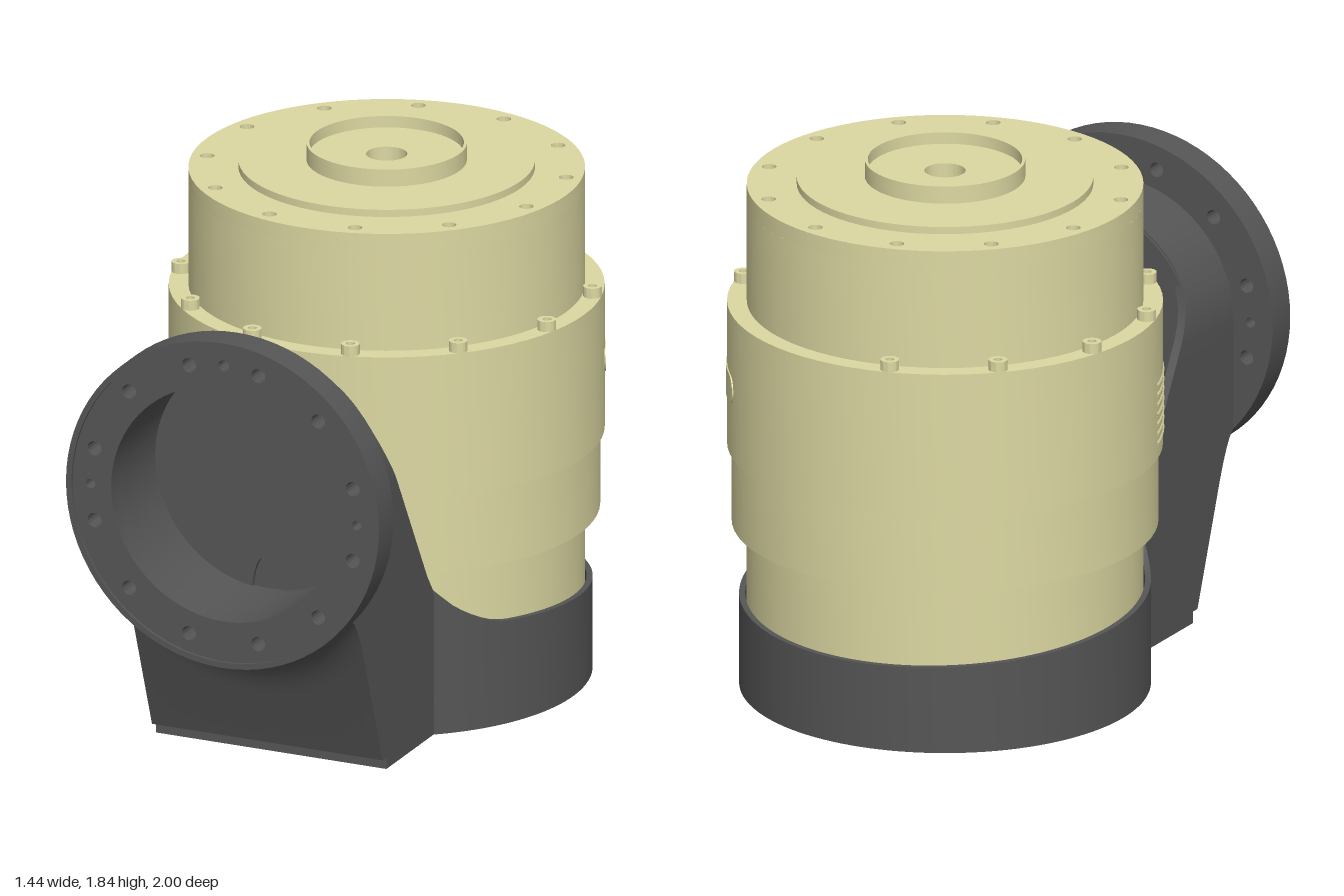
import * as THREE from 'three';
import { toCreasedNormals } from 'three/addons/utils/BufferGeometryUtils.js';

const CZ = -0.283; // motor axis
const BORE_Y = 0.985; // height of the side flange axis
const NECK = 0.42; // half width of the neck
const cream = new THREE.MeshStandardMaterial({ color: 0xdcd8a2, side: THREE.DoubleSide });
const dark = new THREE.MeshStandardMaterial({ color: 0x555555, side: THREE.DoubleSide });
const V = (x, y, z) => new THREE.Vector3(x, y, z);

function add(group, name, geometry, material, x = 0, y = 0, z = 0) {
  const m = new THREE.Mesh(toCreasedNormals(geometry, 0.5), material);
  m.name = name;
  m.position.set(x, y, z);
  group.add(m);
  return m;
}

// Surface through a list of equal-length cross-sections
function strip(rows) {
  const n = rows[0].length, index = [];
  for (let i = 0; i < rows.length - 1; i++)
    for (let j = 0; j < n - 1; j++) {
      const a = i * n + j, b = a + n;
      index.push(a, b, a + 1, b, b + 1, a + 1);
    }
  const g = new THREE.BufferGeometry().setFromPoints(rows.flat());
  g.setIndex(index);
  g.computeVertexNormals();
  return g;
}

const circle = (r, x = 0, y = 0, T = THREE.Path) => new T().absarc(x, y, r, 0, Math.PI * 2, false);
const disc = (r) => circle(r, 0, 0, THREE.Shape);
function ringOfHoles(shape, r, size, count, start) {
  for (let i = 0; i < count; i++) {
    const a = start + (i / count) * Math.PI * 2;
    shape.holes.push(circle(size, r * Math.cos(a), r * Math.sin(a)));
  }
  return shape;
}
const extrude = (shape, depth) => new THREE.ExtrudeGeometry(shape, { depth, bevelEnabled: false, curveSegments: 40 });
// Horizontal plate hanging down from its position; shape y becomes z
const plate = (shape, depth) => extrude(shape, depth).rotateX(Math.PI / 2);

function lerpTable(t, v) {
  if (v <= t[0][0]) return t[0][1];
  for (let i = 1; i < t.length; i++)
    if (v <= t[i][0]) {
      const [a, b] = [t[i - 1], t[i]];
      return b[1] + ((a[1] - b[1]) * (b[0] - v)) / (b[0] - a[0]);
    }
  return t[t.length - 1][1];
}
// Upper edge of the base: z -> y for the cup, y -> z for the neck
const cupTop = [[-0.97, 0.295], [0.05, 0.36], [0.09, 0.368], [0.13, 0.385], [0.17, 0.41], [0.21, 0.445], [0.25, 0.5]];
const neckBack = [[0.5, 0.25], [0.57, 0.3], [1.08, 0.59], [1.13, 0.612], [1.18, 0.628], [1.24, 0.635]];

// Front of the neck at a given x: a slope that flares out to the flange edge
function neckFront(x) {
  const e = BORE_Y - Math.sqrt(0.57 ** 2 - x * x);
  const slope = (y) => 0.65 + (y - 0.04) * 0.36;
  const curve = new THREE.QuadraticBezierCurve3(
    V(x, e - 0.18, slope(e - 0.18)), V(x, e - 0.02, slope(e - 0.02)), V(x, e, 0.885));
  return [V(x, 0, 0.62), V(x, 0.04, 0.62), V(x, 0.04, 0.65), ...curve.getPoints(12)];
}

function buildMotor() {
  const g = new THREE.Group();
  g.name = 'motor';
  g.position.z = CZ;
  // Stepped housing with a through bore
  const profile = [[0.068, 0.15], [0.3, 0.15], [0.3, 0.22], [0.655, 0.22], [0.655, 0.62], [0.69, 0.62], [0.69, 0.575],
    [0.705, 0.575], [0.705, 0.845], [0.72, 0.845], [0.72, 1.345], [0.655, 1.345], [0.655, 1.7],
    [0.49, 1.7], [0.49, 1.78], [0.265, 1.78], [0.265, 1.84], [0.255, 1.84], [0.255, 1.8],
    [0.068, 1.8], [0.068, 0.15]].map((p) => new THREE.Vector2(...p));
  add(g, 'housing', new THREE.LatheGeometry(profile, 72), cream);
  // Drilled top ring
  const ring = ringOfHoles(disc(0.655), 0.602, 0.024, 12, Math.PI / 12);
  ring.holes.push(circle(0.488));
  add(g, 'topRing', plate(ring, 0.055), cream, 0, 1.755, 0);
  // Socket screws on the shoulder, two places left empty at the back
  const head = disc(0.031);
  head.holes.push(circle(0.015));
  for (let i = 0; i < 12; i++) {
    if (i === 9 || i === 10) continue;
    const a = Math.PI / 12 + (i * Math.PI) / 6;
    add(g, 'screw', plate(head, 0.035), cream, 0.69 * Math.cos(a), 1.38, 0.69 * Math.sin(a));
  }
  // Rounded cover pad wrapped on the housing
  const rows = [], mid = Math.atan2(-0.4, 0.6);
  for (let i = 0; i <= 32; i++) {
    const u = -0.13 * Math.cos((i / 32) * Math.PI), d = Math.max(0, Math.abs(u) - 0.08);
    const h = Math.sqrt(Math.max(0, 0.05 ** 2 - d * d)), a = mid + u / 0.72;
    const p = (r, y) => V(r * Math.cos(a), 1.08 + y, r * Math.sin(a));
    rows.push([p(0.715, -h), p(0.724, -h), p(0.724, h), p(0.715, h)]);
  }
  add(g, 'coverPad', strip(rows), cream);
  // Fine horizontal ribs
  for (let i = 0; i < 7; i++) {
    const rib = new THREE.TorusGeometry(0.717, 0.007, 6, 12, 0.37).rotateX(Math.PI / 2).rotateY(-2.48);
    add(g, 'rib', rib, cream, 0, 0.9 + i * 0.034, 0);
  }
  return g;
}

function buildBase() {
  const g = new THREE.Group();
  g.name = 'base';
  // Cup wall round the motor, open towards the neck
  const joint = Math.asin((0.25 - CZ) / 0.68), cup = [];
  for (let i = 0; i <= 96; i++) {
    const a = joint - (i / 96) * (Math.PI + 2 * joint), c = Math.cos(a), s = Math.sin(a);
    const top = lerpTable(cupTop, CZ + 0.68 * s);
    const p = (r, y) => V(r * c, y, CZ + r * s);
    cup.push([p(0.68, 0), p(0.68, top), p(0.66, top), p(0.66, 0.1)]);
  }
  add(g, 'cupWall', strip(cup), dark);

  // Neck shell: straight sides closed by a half round on top
  const side = neckFront(NECK).map((p) => [1, p.y, p.z, 0]);
  for (let i = 1; i <= 10; i++) side.push([1, 0.6 + (i / 10) * (BORE_Y - 0.6), 0.885, 0]);
  const arch = [];
  for (let i = 1; i < 48; i++) {
    const a = (i / 48) * Math.PI;
    arch.push([Math.cos(a), BORE_Y, 0.885, Math.sin(a)]);
  }
  const path = [...side, ...arch, ...side.slice().reverse().map(([c, y, z, s]) => [-c, y, z, s])];
  add(g, 'neckShell', strip(path.map(([c, y, zf, s]) => {
    const zb = lerpTable(neckBack, y + NECK * s);
    const p = (r, z) => V(r * c, y + r * s, z);
    return [p(NECK, zf), p(NECK, zb), p(0.39, zb), p(0.39, Math.min(0.64, zf))];
  })), dark);

  // Flared neck front under the flange
  const front = [];
  for (let i = 0; i <= 24; i++) front.push(neckFront(-NECK + (i / 24) * 2 * NECK));
  add(g, 'neckFront', strip(front), dark);

  // Wall between the bore and the pocket behind it, with a cable opening
  const wall = new THREE.Shape().moveTo(-0.405, 0.05).lineTo(0.405, 0.05).lineTo(0.405, BORE_Y);
  wall.absarc(0, BORE_Y, 0.415, 0, Math.PI, false);
  wall.lineTo(-0.405, 0.05);
  const opening = new THREE.Path().moveTo(-0.058, 0.56).lineTo(0.058, 0.56);
  opening.quadraticCurveTo(0.05, 0.69, 0, 0.69).quadraticCurveTo(-0.05, 0.69, -0.058, 0.56);
  wall.holes.push(opening);
  add(g, 'boreWall', extrude(wall, 0.02), dark, 0, 0, 0.627);

  // Cable duct standing in the pocket
  const duct = new THREE.Shape().moveTo(0.13, 0.63).quadraticCurveTo(0.078, 0.62, 0.078, 0.53);
  duct.absarc(0, 0.53, 0.078, 0, Math.PI, true);
  duct.quadraticCurveTo(-0.078, 0.62, -0.13, 0.63);
  add(g, 'cableDuct', plate(duct, 0.62), dark, 0, 0.72, 0);

  // Floor plate with motor opening, screw holes and cable hole
  const fa = Math.acos(0.41 / 0.675);
  const floor = new THREE.Shape().moveTo(-0.41, 0.62).lineTo(0.41, 0.62);
  floor.lineTo(0.41, CZ + 0.675 * Math.sin(fa));
  floor.absarc(0, CZ, 0.675, fa, Math.PI - fa, true);
  floor.lineTo(-0.41, 0.62);
  floor.holes.push(circle(0.49, 0, CZ), circle(0.055, 0, 0.45));
  for (let i = 0; i < 16; i++) {
    const a = ((i + 0.5) / 16) * Math.PI * 2;
    floor.holes.push(circle(0.018, 0.585 * Math.cos(a), CZ + 0.585 * Math.sin(a)));
  }
  for (const s of [-1, 1]) floor.holes.push(circle(0.015, s * 0.2, 0.42), circle(0.018, s * 0.33, 0.52), circle(0.012, s * 0.12, 0.54));
  add(g, 'floorPlate', plate(floor, 0.13), dark, 0, 0.13, 0);

  // Output disc seen in the floor opening
  const backing = disc(0.5);
  backing.holes.push(circle(0.068));
  add(g, 'outputBacking', plate(backing, 0.03), dark, 0, 0.19, CZ);
  const hub = ringOfHoles(disc(0.325), 0.25, 0.042, 12, 0);
  hub.holes.push(circle(0.066));
  add(g, 'outputDisc', plate(hub, 0.05), dark, 0, 0.165, CZ);
  const seal = disc(0.4);
  seal.holes.push(circle(0.345));
  add(g, 'outputRing', plate(seal, 0.03), dark, 0, 0.165, CZ);
  return g;
}

function buildFlange() {
  const g = new THREE.Group();
  g.name = 'sideFlange';
  g.position.y = BORE_Y;
  // Drilled flange ring with three dowel holes
  const ring = ringOfHoles(disc(0.57), 0.487, 0.025, 12, Math.PI / 12);
  ring.holes.push(circle(0.41), circle(0.019, 0, 0.487), circle(0.017, 0.485, 0), circle(0.017, -0.485, 0));
  add(g, 'flangeRing', extrude(ring, 0.105), dark, 0, 0, 0.885);
  // Raised rim
  const rim = disc(0.57);
  rim.holes.push(circle(0.55));
  add(g, 'flangeRim', extrude(rim, 0.012), dark, 0, 0, 0.988);
  // Bore lining
  add(g, 'bore', new THREE.CylinderGeometry(0.41, 0.41, 0.26, 72, 1, true).rotateX(Math.PI / 2), dark, 0, 0, 0.765);
  return g;
}

export function createModel() {
  const model = new THREE.Group();
  model.name = 'rotaryJoint';
  model.add(buildMotor(), buildBase(), buildFlange());
  return model;
}
